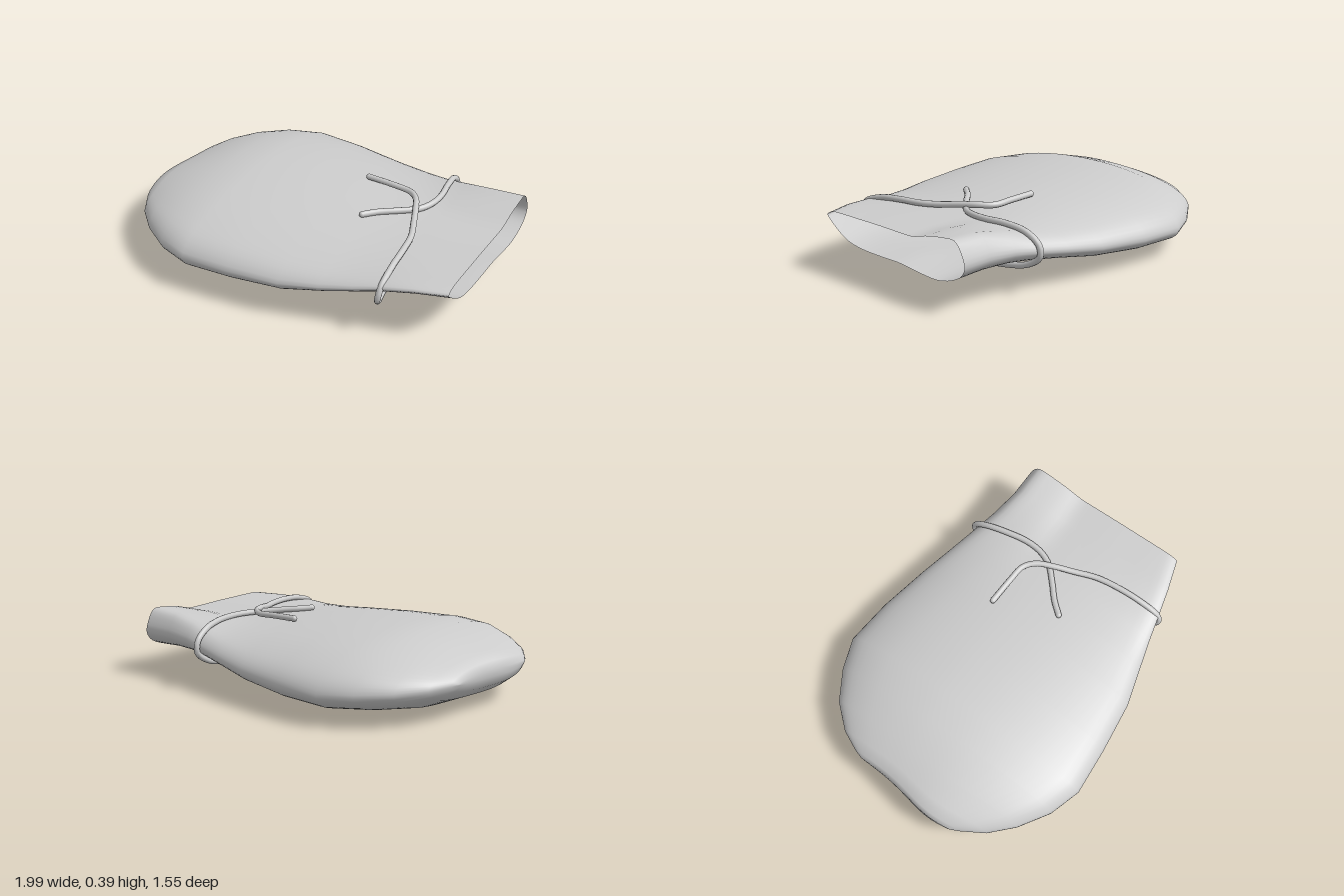
import * as THREE from 'three';

const RING = 64;

// mouth outline as [u, y]: u runs 1 (front) to -1 (back) over the top, then back underneath
const MOUTH = [
  [1, 0.31], [0.92, 0.33], [0.75, 0.335], [0.5, 0.335], [0.2, 0.335], [-0.1, 0.332], [-0.3, 0.333],
  [-0.5, 0.358], [-0.7, 0.373], [-0.88, 0.374], [-0.97, 0.31],
  [-1, 0.25], [-0.95, 0.205], [-0.85, 0.175], [-0.65, 0.148], [-0.4, 0.153], [-0.1, 0.17], [0.2, 0.171],
  [0.5, 0.178], [0.7, 0.2], [0.87, 0.25], [0.97, 0.29],
];
const TOP_COUNT = 11;

// body stations: x, zFront, zBack, yFront, yBack, yBottom, yTop, mouth blend
const STATIONS = [
  [-0.95, 0.33, -0.30, 0.2, 0.2, 0.18, 0.22, 0],
  [-0.935, 0.38, -0.35, 0.2, 0.2, 0.13, 0.262, 0],
  [-0.88, 0.50, -0.47, 0.2, 0.19, 0.083, 0.292, 0],
  [-0.765, 0.615, -0.605, 0.205, 0.175, 0.035, 0.337, 0],
  [-0.6, 0.72, -0.71, 0.21, 0.16, 0.01, 0.385, 0],
  [-0.42, 0.775, -0.78, 0.21, 0.15, 0, 0.395, 0],
  [-0.15, 0.755, -0.757, 0.21, 0.155, 0.01, 0.388, 0],
  [0.14, 0.72, -0.70, 0.215, 0.17, 0.045, 0.368, 0],
  [0.35, 0.66, -0.645, 0.22, 0.19, 0.085, 0.35, 0.12],
  [0.52, 0.612, -0.60, 0.235, 0.21, 0.112, 0.335, 0.3],
  [0.66, 0.577, -0.565, 0.255, 0.225, 0.13, 0.335, 0.6],
  [0.82, 0.535, -0.54, 0.285, 0.24, 0.145, 0.335, 0.88],
  [0.995, 0.48, -0.54, 0.31, 0.25, 0.155, 0.335, 1],
];

// one smooth closed ring, blending a lens section into the mouth outline
function ringPoints([x, zf, zb, yf, yb, bottom, top, blend]) {
  const mid = (zf + zb) / 2, half = (zf - zb) / 2;
  const pts = MOUTH.map(([u, mouthY], k) => {
    const edge = THREE.MathUtils.lerp(yb, yf, (u + 1) / 2);
    const s = Math.sqrt(Math.max(0, 1 - u * u));
    const lens = k < TOP_COUNT ? edge + (top - edge) * s : edge + (bottom - edge) * s;
    return new THREE.Vector3(x, THREE.MathUtils.lerp(lens, mouthY, blend), mid + half * u);
  });
  const curve = new THREE.CatmullRomCurve3(pts, true, 'centripetal');
  const tipWeight = THREE.MathUtils.clamp((-0.6 - x) / 0.35, 0, 1);
  return Array.from({ length: RING }, (_, j) => {
    const p = curve.getPoint(j / RING);
    // off-centre bulge of the closed end
    p.x -= 0.05 * tipWeight * Math.exp(-(((p.z - 0.2) / 0.22) ** 2));
    return p;
  });
}

function pouchGeometry() {
  const pos = [], index = [];
  STATIONS.forEach((s) => ringPoints(s).forEach((p) => pos.push(p.x, p.y, p.z)));
  for (let i = 0; i < STATIONS.length - 1; i++) {
    for (let j = 0; j < RING; j++) {
      const a = i * RING + j, b = i * RING + ((j + 1) % RING);
      index.push(a, a + RING, b, a + RING, b + RING, b);
    }
  }
  // close the narrow seam at the rounded end
  for (let j = 0; j < RING / 2; j++) {
    const a = j, b = j + 1, c = (RING - j) % RING, d = RING - j - 1;
    if (a !== c) index.push(a, b, c);
    if (b !== d) index.push(b, d, c);
  }
  const geo = new THREE.BufferGeometry();
  geo.setAttribute('position', new THREE.Float32BufferAttribute(pos, 3));
  geo.setIndex(index);
  geo.computeVertexNormals();
  return geo;
}

// cord path: loose end, over the top, around underneath, back over to the other end
const CORD = [
  [0.31, 0.365, 0.13], [0.37, 0.362, 0.06], [0.45, 0.357, -0.01], [0.54, 0.35, -0.1], [0.575, 0.35, -0.18],
  [0.583, 0.35, -0.28], [0.565, 0.348, -0.4], [0.545, 0.325, -0.52], [0.535, 0.27, -0.6], [0.533, 0.21, -0.61],
  [0.532, 0.15, -0.53], [0.535, 0.115, -0.38], [0.54, 0.1, -0.2], [0.545, 0.1, 0], [0.56, 0.112, 0.2],
  [0.59, 0.13, 0.4], [0.63, 0.17, 0.53], [0.655, 0.23, 0.585], [0.66, 0.29, 0.56], [0.655, 0.335, 0.44],
  [0.645, 0.35, 0.3], [0.625, 0.352, 0.17], [0.58, 0.357, 0.05], [0.535, 0.37, -0.06], [0.49, 0.375, -0.15],
  [0.43, 0.372, -0.2], [0.32, 0.376, -0.21], [0.165, 0.378, -0.215],
];
const CORD_RADIUS = 0.017;

export function createModel() {
  const model = new THREE.Group();
  model.name = 'pouch';
  const cloth = new THREE.MeshStandardMaterial({ color: 0xcccccc, side: THREE.DoubleSide });
  cloth.name = 'light grey';

  const body = new THREE.Mesh(pouchGeometry(), cloth);
  body.name = 'pouchBody';
  model.add(body);

  const points = CORD.map((p) => new THREE.Vector3(...p));
  const path = new THREE.CatmullRomCurve3(points, false, 'centripetal');
  const cord = new THREE.Mesh(new THREE.TubeGeometry(path, 160, CORD_RADIUS, 10), cloth);
  cord.name = 'drawCord';
  model.add(cord);

  // rounded cord tips
  for (const tip of [points[0], points[points.length - 1]]) {
    const end = new THREE.Mesh(new THREE.SphereGeometry(CORD_RADIUS, 10, 8), cloth);
    end.name = 'cordTip';
    end.position.copy(tip);
    model.add(end);
  }
  return model;
}
